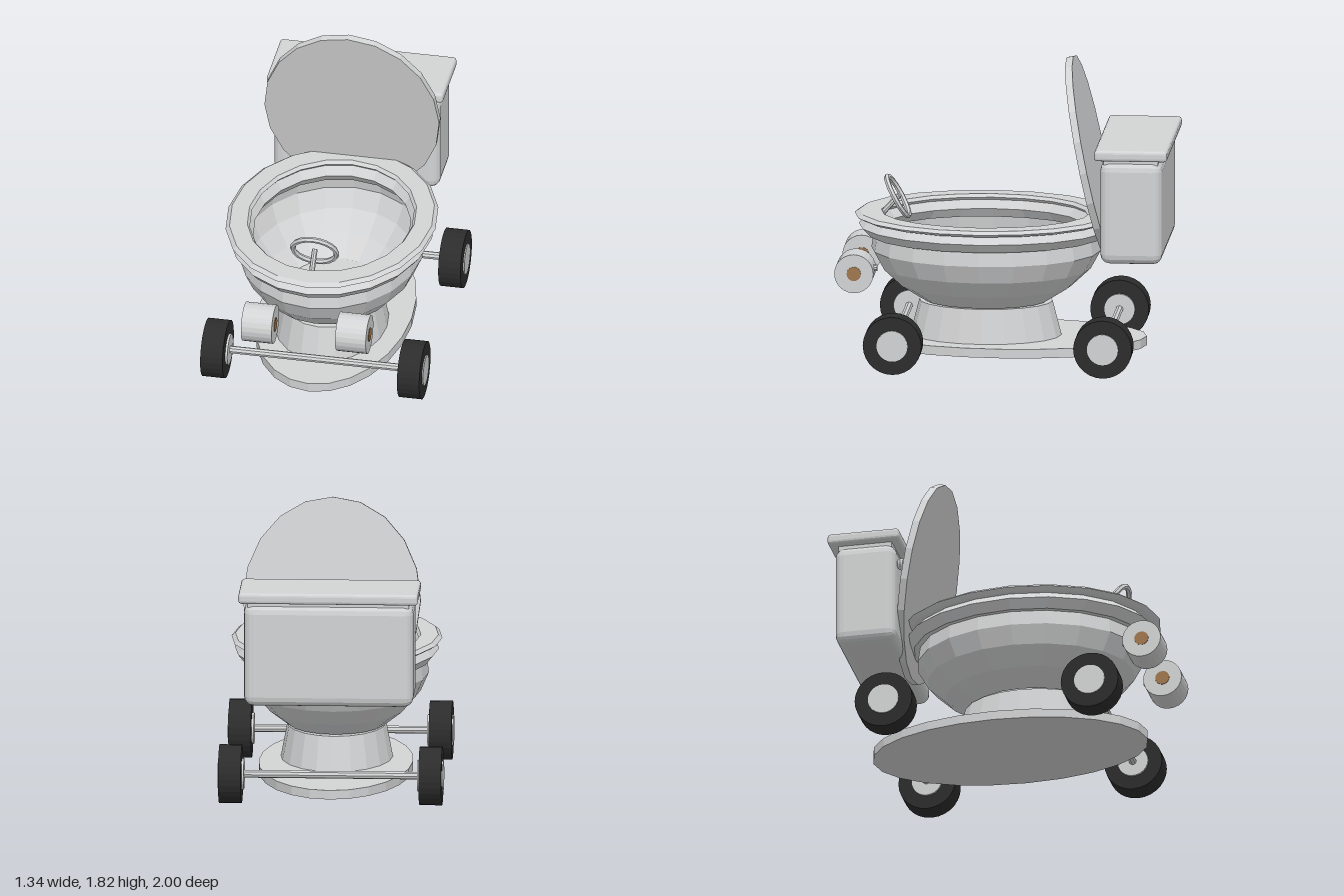
import * as THREE from 'three';
import { RoundedBoxGeometry } from 'three/addons/geometries/RoundedBoxGeometry.js';

const makeMaterial = (name, color, opts = {}) => {
  const m = new THREE.MeshStandardMaterial({ color, ...opts });
  m.name = name;
  return m;
};

export function createModel() {
  const model = new THREE.Group();
  model.name = 'toiletCart';
  const porcelain = makeMaterial('porcelain', 0xd2d3d4, { flatShading: true, side: THREE.DoubleSide });
  const rubber = makeMaterial('rubber', 0x2c2c2c, { flatShading: true });
  const amber = makeMaterial('amber', 0xa0774e, { flatShading: true });

  const add = (name, geometry, material, x = 0, y = 0, z = 0) => {
    const mesh = new THREE.Mesh(geometry, material);
    mesh.name = name;
    mesh.position.set(x, y, z);
    model.add(mesh);
    return mesh;
  };
  // Oval part turned from a profile of [radius, height] points
  const SIDES = 20, BOWL_Z = 0.125;
  const oval = (name, profile, stretch) => {
    const points = profile.map(([r, y]) => new THREE.Vector2(r, y));
    const geometry = new THREE.LatheGeometry(points, SIDES).scale(1, 1, stretch);
    return add(name, geometry, porcelain, 0, 0, BOWL_Z);
  };
  // Cylinder lying along x
  const rod = (name, r, length, material, x, y, z, sides = 24) =>
    add(name, new THREE.CylinderGeometry(r, r, length, sides).rotateZ(Math.PI / 2), material, x, y, z);

  // Floor plate and pedestal
  add('basePlate', new THREE.CylinderGeometry(1, 1, 0.055, 24).scale(0.46, 1, 0.835), porcelain, 0, 0.0975, 0);
  add('pedestal', new THREE.CylinderGeometry(0.295, 0.335, 0.21, SIDES).scale(1, 1, 1.35), porcelain, 0, 0.225, BOWL_Z);

  // Bowl shell, rim and seat
  oval('bowl', [[0.295, 0.335], [0.41, 0.425], [0.5, 0.53], [0.548, 0.64], [0.535, 0.74]], 1.25);
  oval('rim', [[0.465, 0.785], [0.5, 0.73], [0.565, 0.73], [0.608, 0.785], [0.565, 0.835], [0.5, 0.835], [0.465, 0.785]], 1.25);
  oval('seat', [[0.485, 0.85], [0.5, 0.832], [0.6, 0.832], [0.628, 0.85], [0.605, 0.869], [0.5, 0.869], [0.485, 0.85]], 1.25);

  // Raised lid leaning forward
  const lid = add('lid', new THREE.CylinderGeometry(1, 1, 0.043, SIDES).scale(0.53, 1, 0.613).rotateX(Math.PI / 2),
    porcelain, 0, 1.214, -0.5);
  lid.rotation.x = 0.205;

  // Tank with cover and flush button
  add('tank', new RoundedBoxGeometry(1.01, 0.625, 0.37, 2, 0.06), porcelain, 0, 0.968, -0.78);
  add('tankNeck', new THREE.BoxGeometry(0.96, 0.04, 0.325), porcelain, 0, 1.28, -0.78);
  add('tankCover', new RoundedBoxGeometry(1.07, 0.065, 0.436, 2, 0.02), porcelain, 0, 1.323, -0.782);
  add('flushButton', new THREE.SphereGeometry(0.036, 10, 8).scale(1, 1, 0.75), porcelain, -0.42, 1.165, -0.573);

  // Axles, tyres and hubs
  for (const z of [0.63, -0.627]) {
    rod('axle', 0.023, 1.1, porcelain, 0, 0.175, z, 8);
    for (const side of [-1, 1]) {
      rod('tyre', 0.175, 0.135, rubber, side * 0.597, 0.175, z, 28);
      rod('hub', 0.093, 0.155, porcelain, side * 0.594, 0.175, z);
    }
  }

  // Headlights with an amber core showing at both ends
  for (const side of [-1, 1]) {
    const x = side * 0.286;
    rod('headlight', 0.117, 0.186, porcelain, x, 0.55, 0.883);
    rod('headlightCore', 0.043, 0.194, amber, x, 0.55, 0.883, 16);
    add('headlightMount', new THREE.CylinderGeometry(0.02, 0.02, 0.03, 10).rotateX(Math.PI / 2), porcelain, x, 0.57, 0.765);
  }

  // Steering wheel on its column
  const wheel = add('steeringWheel', new THREE.TorusGeometry(0.132, 0.017, 6, 20), porcelain, 0, 0.95, 0.652);
  wheel.rotation.x = 0.51;
  const top = new THREE.Vector3(0, 0.955, 0.645), foot = new THREE.Vector3(0, 0.85, 0.74);
  const axis = top.clone().sub(foot);
  const column = add('steeringColumn', new THREE.CylinderGeometry(0.017, 0.017, axis.length(), 8), porcelain);
  column.position.copy(top).add(foot).multiplyScalar(0.5);
  column.quaternion.setFromUnitVectors(new THREE.Vector3(0, 1, 0), axis.normalize());

  return model;
}
